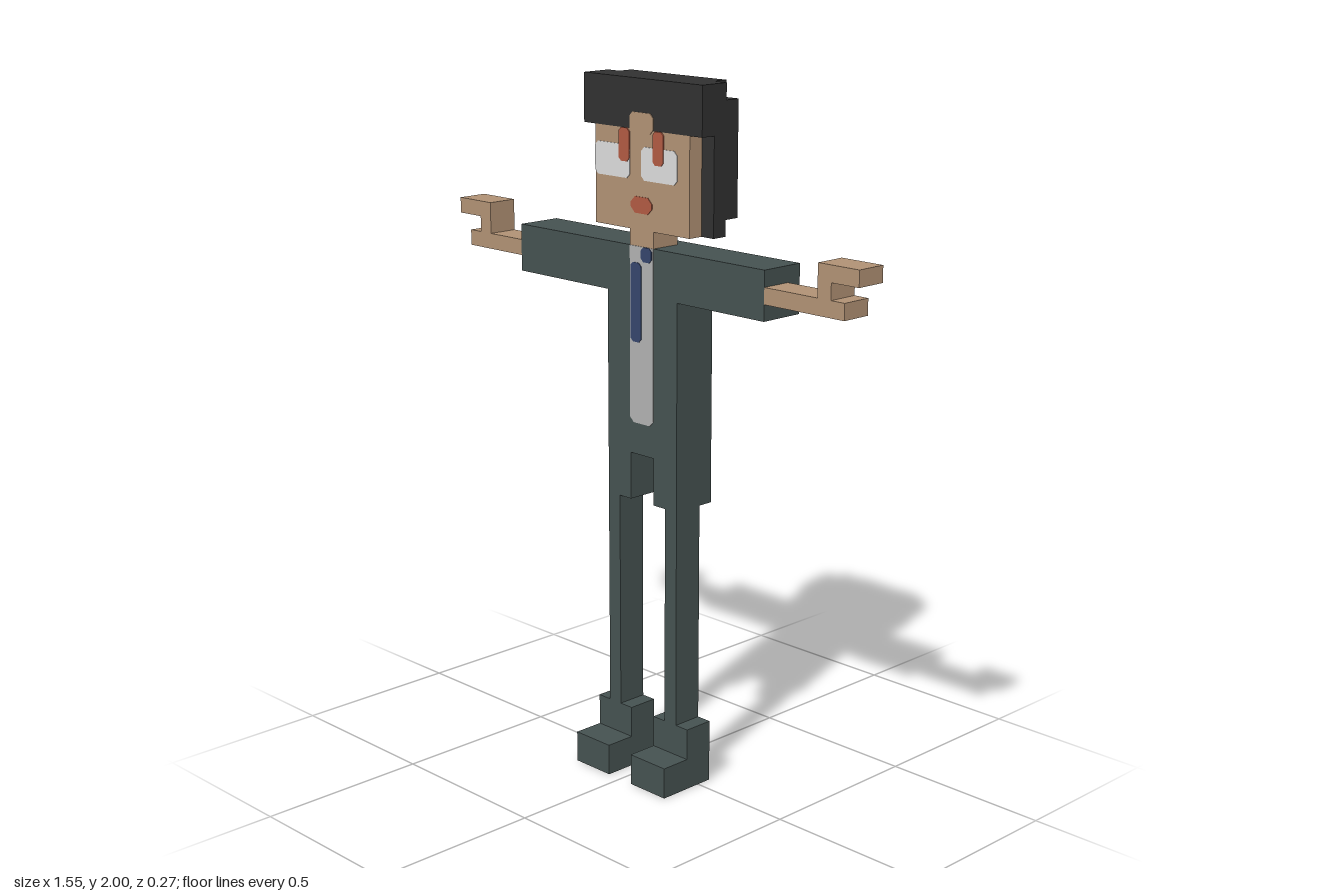
import * as THREE from 'three';

const U = 1 / 22; // one block; the figure is 44 blocks tall

const flat = (name, color) => {
  const m = new THREE.MeshStandardMaterial({ color });
  m.name = name;
  return m;
};

export function createModel() {
  const skin = flat('skin', 0xb09174);
  const hair = flat('hair', 0x303030);
  const suit = flat('suit', 0x455150);
  const shirt = flat('shirtGrey', 0xb0b0b0);
  const eyeWhite = flat('eyeWhite', 0xdadada);
  const tieBlue = flat('tieBlue', 0x35456c);
  const red = flat('red', 0xb05a42);

  const root = new THREE.Group();
  root.name = 'figure';

  const group = (name) => {
    const g = new THREE.Group();
    g.name = name;
    root.add(g);
    return g;
  };

  // Box given by its limits in blocks
  const block = (parent, name, mat, x0, x1, y0, y1, z0, z1) => {
    const mesh = new THREE.Mesh(new THREE.BoxGeometry((x1 - x0) * U, (y1 - y0) * U, (z1 - z0) * U), mat);
    mesh.position.set((x0 + x1) / 2 * U, (y0 + y1) / 2 * U, (z0 + z1) / 2 * U);
    mesh.name = name;
    parent.add(mesh);
  };

  // Outline in blocks, extruded from z0 to z1
  const slab = (parent, name, mat, points, z0, z1) => {
    const shape = new THREE.Shape(points.map(([x, y]) => new THREE.Vector2(x * U, y * U)));
    const geo = new THREE.ExtrudeGeometry(shape, { depth: (z1 - z0) * U, bevelEnabled: false });
    geo.translate(0, 0, z0 * U);
    const mesh = new THREE.Mesh(geo, mat);
    mesh.name = name;
    parent.add(mesh);
  };

  // Thin painted plate with cut corners on the front face
  const plate = (parent, name, mat, x0, x1, y0, y1, cut = 0, layer = 1) => {
    const c = cut;
    const pts = c
      ? [[x0 + c, y0], [x1 - c, y0], [x1, y0 + c], [x1, y1 - c], [x1 - c, y1], [x0 + c, y1], [x0, y1 - c], [x0, y0 + c]]
      : [[x0, y0], [x1, y0], [x1, y1], [x0, y1]];
    slab(parent, name, mat, pts, 0.98, 1 + 0.045 * layer);
  };

  // Jacket: T-shaped back layer, front layer with a notch between the hips
  const jacket = group('jacket');
  const upper = [[3, 31], [10, 31], [10, 34], [-11, 34], [-11, 31], [-3, 31], [-3, 18]];
  slab(jacket, 'jacketBack', suit, [[3, 18], ...upper], -2, -1);
  slab(jacket, 'jacketFront', suit, [[-1, 18], [-1, 21], [1, 21], [1, 18], [3, 18], ...upper], -1, 1);

  // Shirt and tie
  plate(jacket, 'shirt', shirt, -1, 1, 23, 34, 0.3, 1);
  plate(jacket, 'shirtCollar', shirt, -1, 1, 33.4, 34, 0, 1);
  plate(jacket, 'tie', tieBlue, -0.9, 0, 28.1, 33, 0.2, 2);
  plate(jacket, 'tieKnot', tieBlue, 0, 0.9, 33.1, 34, 0.2, 2);

  // Legs, shoes, arms and hands
  for (const [side, s] of [['left', 1], ['right', -1]]) {
    const mirrored = (parent, name, mat, a, b, ...rest) =>
      block(parent, name, mat, Math.min(a * s, b * s), Math.max(a * s, b * s), ...rest);

    const leg = group(side + 'Leg');
    mirrored(leg, 'trouserLeg', suit, 2, 3, 4, 18, -1, 1);
    mirrored(leg, 'shoeHeel', suit, 1, 4, 0, 4, -1, 1);
    mirrored(leg, 'shoeToe', suit, 1, 4, 0, 2, 1, 3);

    const hand = group(side + 'Hand');
    mirrored(hand, 'palm', skin, s > 0 ? 10 : 11, 16, 32, 33, -1, 1);
    mirrored(hand, 'thumbBase', skin, 14, 15, 33, 34, -1, 1);
    mirrored(hand, 'thumbTip', skin, 14, 17, 34, 35, -1, 1);
  }

  // Head
  const head = group('head');
  block(head, 'neck', skin, -1, 1, 34, 35, -1, 1);
  block(head, 'face', skin, -4, 4, 35, 41, 0, 1);

  // Hair: fringe, sides and stepped back layers
  block(head, 'hairFringe', hair, -5, 5, 41, 44, -1, 1);
  block(head, 'hairSides', hair, -5, 5, 35, 41, -1, 0);
  slab(head, 'hairBack', hair, [[-5, 36], [5, 36], [5, 43], [4, 43], [4, 44], [-4, 44], [-4, 43], [-5, 43]], -2, -1);
  slab(head, 'hairBun', hair, [[-3, 38], [3, 38], [3, 39], [4, 39], [4, 42], [3, 42], [3, 43],
    [-3, 43], [-3, 42], [-4, 42], [-4, 39], [-3, 39]], -3, -2);

  // Painted face details
  plate(head, 'hairParting', skin, -1, 1, 40.8, 42, 0.25);
  plate(head, 'rightEye', eyeWhite, -4, -1, 38, 40, 0.25);
  plate(head, 'leftEye', eyeWhite, 0, 3, 38, 40, 0.25);
  plate(head, 'rightEyeMark', red, -1.9, -1, 39, 41, 0.2, 2);
  plate(head, 'leftEyeMark', red, 1, 1.9, 39, 41, 0.2, 2);
  plate(head, 'mouth', red, -0.9, 0.9, 36, 37, 0.35);

  return root;
}
